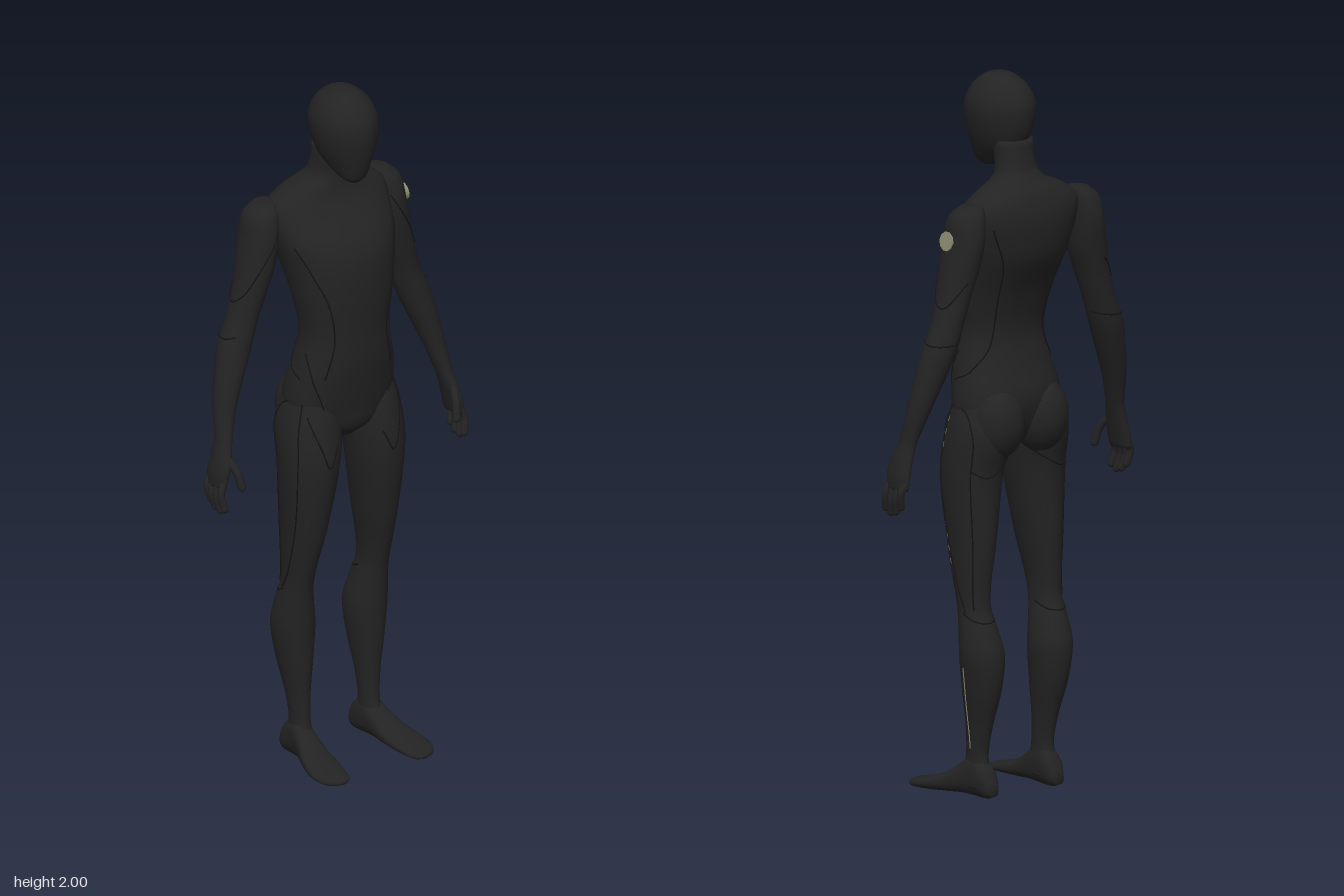
import * as THREE from 'three';

const suit = new THREE.MeshStandardMaterial({ color: 0x232323 });
suit.name = 'charcoal suit';
const seamDark = new THREE.MeshStandardMaterial({ color: 0x141414 });
seamDark.name = 'dark seam';
const trim = new THREE.MeshStandardMaterial({ color: 0x8e8e74 });
trim.name = 'pale trim';

function addMesh(parent, name, geometry, material = suit) {
  const mesh = new THREE.Mesh(geometry, material);
  mesh.name = name;
  parent.add(mesh);
  return mesh;
}

// Smooth interpolation of section rows [t, centreX, halfWidth, vPlus, vMinus] by t
function sample(rows, t) {
  let i = 0;
  while (i < rows.length - 2 && t > rows[i + 1][0]) i++;
  const p = rows[i], q = rows[i + 1], h = q[0] - p[0], s = (t - p[0]) / h;
  const slope = (k, f) => {
    const a = rows[Math.max(k - 1, 0)], b = rows[Math.min(k + 1, rows.length - 1)];
    return (b[f] - a[f]) / (b[0] - a[0]);
  };
  return [1, 2, 3, 4].map((f) =>
    p[f] * (1 + 2 * s) * (1 - s) ** 2 + slope(i, f) * h * s * (1 - s) ** 2 +
    q[f] * s * s * (3 - 2 * s) + slope(i + 1, f) * h * s * s * (s - 1));
}

// Point on a body surface; angle 0 faces outward, PI/2 forward (or up for a foot)
function pointOn(body, t, a) {
  const [cx, w, vp, vm] = sample(body.rows, t);
  const pw = (c) => Math.sign(c) * Math.abs(c) ** body.power;
  const x = body.side * (cx + w * pw(Math.cos(a)));
  const v = (vp + vm) / 2 + ((vp - vm) / 2) * pw(Math.sin(a));
  return body.alongZ ? new THREE.Vector3(x, v, t) : new THREE.Vector3(x, t, v);
}

// Closed skin lofted through the section rows
function loft(body, steps = 5, around = 36) {
  const { rows } = body, pos = [], index = [], ts = [rows[0][0]];
  for (let i = 0; i < rows.length - 1; i++)
    for (let k = 1; k <= steps; k++) ts.push(rows[i][0] + (rows[i + 1][0] - rows[i][0]) * k / steps);
  for (const t of ts)
    for (let j = 0; j < around; j++) pos.push(...pointOn(body, t, (j / around) * Math.PI * 2).toArray());
  const flip = (body.side < 0) !== body.alongZ;
  const tri = (a, b, c) => (flip ? index.push(a, c, b) : index.push(a, b, c));
  const last = ts.length - 1, base = pos.length / 3;
  for (const t of [ts[0], ts[last]]) {
    const c = pointOn(body, t, 0).add(pointOn(body, t, Math.PI)).multiplyScalar(0.5);
    pos.push(...c.toArray());
  }
  for (let j = 0; j < around; j++) {
    const n = (j + 1) % around;
    for (let i = 0; i < last; i++) {
      const a = i * around + j, b = i * around + n;
      tri(a, a + around, b);
      tri(b, a + around, b + around);
    }
    tri(base, j, n);
    tri(base + 1, last * around + n, last * around + j);
  }
  const g = new THREE.BufferGeometry();
  g.setAttribute('position', new THREE.Float32BufferAttribute(pos, 3));
  g.setIndex(index);
  g.computeVertexNormals();
  return g;
}

const makeBody = (rows, side = 1, power = 1, alongZ = false) => ({ rows, side, power, alongZ });

// Thin line following [t, angle] points on a body surface
function addSeam(parent, name, body, path, material = seamDark, radius = 0.0022) {
  const guide = new THREE.CatmullRomCurve3(path.map(([t, a]) => new THREE.Vector3(t, a, 0)));
  const pts = guide.getPoints(24).map((p) => pointOn(body, p.x, p.y));
  addMesh(parent, name, new THREE.TubeGeometry(new THREE.CatmullRomCurve3(pts), 48, radius, 5), material);
}

const torsoRows = [
  [0.965, 0, 0.035, 0.03, -0.06], [1.0, 0, 0.1, 0.062, -0.1], [1.06, 0, 0.16, 0.073, -0.125],
  [1.12, 0, 0.163, 0.083, -0.13], [1.2, 0, 0.146, 0.094, -0.108], [1.29, 0, 0.132, 0.096, -0.092],
  [1.4, 0, 0.148, 0.1, -0.118], [1.5, 0, 0.166, 0.094, -0.165], [1.56, 0, 0.18, 0.072, -0.178],
  [1.62, 0, 0.188, 0.028, -0.18], [1.66, 0, 0.18, 0.002, -0.17], [1.69, 0, 0.135, -0.01, -0.155],
  [1.715, 0, 0.08, -0.015, -0.133], [1.745, 0, 0.06, -0.018, -0.113], [1.82, 0, 0.056, 0, -0.1],
];
const headRows = [
  [1.735, 0, 0.018, 0.066, 0.025], [1.75, 0, 0.037, 0.08, 0], [1.79, 0, 0.06, 0.094, -0.07],
  [1.83, 0, 0.076, 0.104, -0.098], [1.88, 0, 0.087, 0.11, -0.11], [1.92, 0, 0.086, 0.105, -0.109],
  [1.96, 0, 0.069, 0.083, -0.088], [1.985, 0, 0.044, 0.052, -0.057], [1.995, 0, 0.026, 0.03, -0.035],
  [2.0, 0, 0.003, 0.003, -0.006],
];
const legRows = [
  [0.03, 0.118, 0.03, 0, -0.1], [0.07, 0.118, 0.029, 0.005, -0.09], [0.12, 0.117, 0.026, -0.006, -0.078],
  [0.2, 0.118, 0.032, -0.008, -0.093], [0.3, 0.12, 0.047, -0.002, -0.124], [0.4, 0.122, 0.058, 0.001, -0.135],
  [0.47, 0.125, 0.05, 0.004, -0.115], [0.53, 0.127, 0.041, 0.012, -0.093], [0.6, 0.126, 0.044, 0.03, -0.092],
  [0.7, 0.12, 0.056, 0.056, -0.099], [0.9, 0.11, 0.08, 0.085, -0.105], [1.02, 0.1, 0.083, 0.074, -0.13],
  [1.12, 0.1, 0.055, 0.045, -0.1],
];
const footRows = [
  [-0.112, 0.117, 0.016, 0.045, 0.012], [-0.09, 0.117, 0.029, 0.09, 0.005], [-0.04, 0.119, 0.032, 0.12, 0.006],
  [0, 0.124, 0.036, 0.095, 0.008], [0.05, 0.133, 0.045, 0.062, 0.006], [0.1, 0.142, 0.051, 0.044, 0.005],
  [0.15, 0.145, 0.045, 0.031, 0.004], [0.175, 0.141, 0.032, 0.025, 0.005], [0.186, 0.138, 0.014, 0.018, 0.008],
];
const armRows = [
  [0.9, 0.4, 0.015, 0.002, -0.08], [0.94, 0.395, 0.02, 0.006, -0.08], [0.98, 0.385, 0.021, 0, -0.077],
  [1.03, 0.371, 0.022, -0.018, -0.078], [1.12, 0.35, 0.033, -0.033, -0.105], [1.22, 0.318, 0.044, -0.04, -0.13],
  [1.28, 0.298, 0.048, -0.045, -0.14], [1.35, 0.272, 0.045, -0.048, -0.142], [1.43, 0.247, 0.047, -0.04, -0.147],
  [1.5, 0.228, 0.052, -0.034, -0.156], [1.58, 0.214, 0.05, -0.032, -0.165], [1.64, 0.205, 0.046, -0.045, -0.155],
  [1.668, 0.19, 0.03, -0.07, -0.135],
];

// Finger: rounded joints joined by a tapered bend
function addFinger(parent, name, points, radius) {
  const curve = new THREE.CatmullRomCurve3(points);
  addMesh(parent, name, new THREE.TubeGeometry(curve, 12, radius, 10));
  addMesh(parent, name + 'Tip', new THREE.SphereGeometry(radius, 10, 8)).position.copy(points[points.length - 1]);
}

export function createModel() {
  const model = new THREE.Group();
  model.name = 'suitedFigure';
  const torso = makeBody(torsoRows, 1, 0.88);
  addMesh(model, 'torso', loft(torso));
  addMesh(model, 'head', loft(makeBody(headRows)));

  for (const side of [1, -1]) {
    const half = new THREE.Group();
    half.name = side > 0 ? 'leftSide' : 'rightSide';
    model.add(half);
    const v = (x, y, z) => new THREE.Vector3(side * x, y, z);
    const leg = makeBody(legRows, side), arm = makeBody(armRows, side);
    addMesh(half, 'leg', loft(leg));
    addMesh(half, 'foot', loft(makeBody(footRows, side, 0.85, true)));
    addMesh(half, 'arm', loft(arm));

    // Buttock
    const buttock = addMesh(half, 'buttock', new THREE.SphereGeometry(1, 28, 20));
    buttock.scale.set(0.08, 0.105, 0.08);
    buttock.position.copy(v(0.078, 1.045, -0.074));

    // Four curled fingers and a thumb
    [0, 1, 2, 3].forEach((i) => {
      const z = -0.07 + i * 0.021, drop = [0.02, 0.005, 0, 0.01][i];
      addFinger(half, 'finger', [v(0.398, 0.92, z), v(0.412, 0.875 + drop, z + 0.004),
        v(0.405, 0.833 + drop, z + 0.012)], 0.0105);
    });
    addFinger(half, 'thumb', [v(0.383, 0.985, -0.015), v(0.37, 0.945, 0.015), v(0.363, 0.905, 0.026)], 0.0115);

    // Torso panel lines
    const mirror = (path) => path.map(([t, a]) => [t, side > 0 ? a : Math.PI - a]);
    addSeam(half, 'chestSeam', torso, mirror([[1.56, 0.4], [1.48, 0.6], [1.38, 0.85], [1.28, 0.9], [1.17, 0.8]]));
    addSeam(half, 'hipSeam', torso, mirror([[1.24, 0.1], [1.18, 0.45], [1.08, 0.9], [1.02, 1.0]]));
    addSeam(half, 'backSeam', torso, mirror([[1.6, -0.7], [1.45, -0.95], [1.3, -0.9], [1.2, -0.4], [1.16, 0.2]]));

    // Leg and arm panel lines
    addSeam(half, 'groinSeam', leg, [[0.97, 1.9], [0.91, 1.6], [0.97, 1.25], [1.06, 0.8]]);
    addSeam(half, 'thighFrontSeam', leg, [[1.09, 0.6], [0.9, 0.5], [0.75, 0.45], [0.6, 0.2], [0.52, -0.2]]);
    addSeam(half, 'thighBackSeam', leg, [[1.09, 0], [1.06, -0.4], [0.95, -0.7], [0.8, -0.75], [0.53, -0.7]]);
    addSeam(half, 'thighCrease', leg, [[0.92, -0.7], [0.9, -1.3], [0.93, -2], [0.97, -2.7]]);
    addSeam(half, 'kneeSeam', leg, [[0.52, 0], [0.5, -0.8], [0.5, -2.2], [0.52, -3.1]]);
    addSeam(half, 'elbowSeam', arm, [[1.31, 0.8], [1.3, 0], [1.3, -1.5], [1.31, -3]]);
    addSeam(half, 'shoulderSeam', arm, [[1.6, 2.0], [1.52, 1.3], [1.43, 0.6], [1.4, -0.4], [1.47, -1.4]]);

    // Pale edging on the left leg
    if (side > 0) {
      for (let k = 0; k < 12; k++) {
        const t = 1.06 - k * 0.036;
        addSeam(half, 'thighDash', leg, [[t, 0.52], [t - 0.015, 0.52]], trim, 0.0012);
      }
      addSeam(half, 'shinStripe', leg, [[0.37, 0.25], [0.25, 0.25], [0.14, 0]], trim, 0.002);
    }
  }

  // Round badge on the left shoulder
  const badge = addMesh(model, 'shoulderBadge', new THREE.CylinderGeometry(0.027, 0.027, 0.009, 10), trim);
  badge.rotation.z = -Math.PI / 2 + 0.12;
  badge.position.set(0.263, 1.577, -0.085);
  return model;
}
